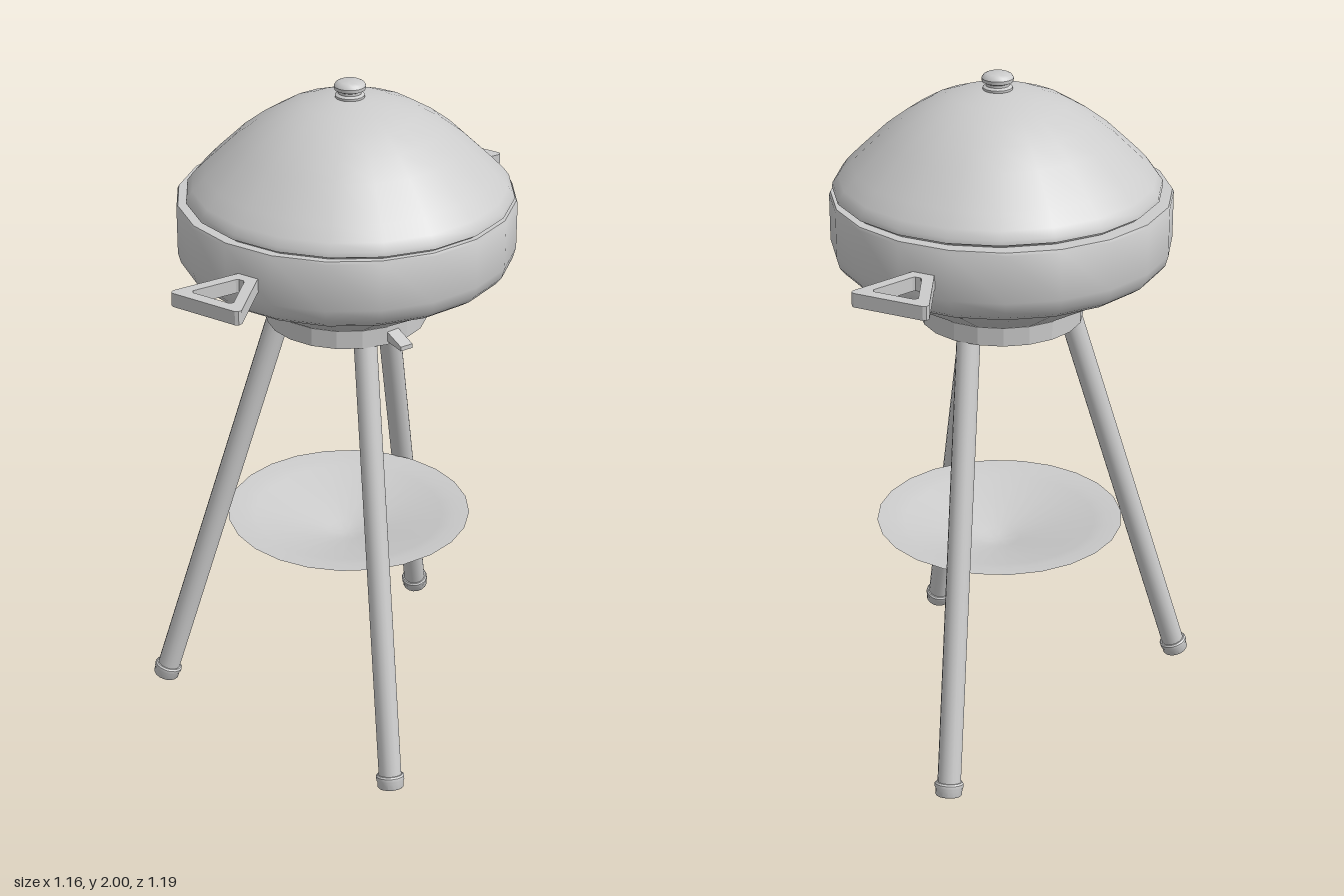
import * as THREE from 'three';
import { toCreasedNormals } from 'three/addons/utils/BufferGeometryUtils.js';

const material = new THREE.MeshStandardMaterial({ color: 0xcccccc, side: THREE.DoubleSide });
const BOWL = [0.02, -0.033]; // x, z of the bowl axis
const LID = [0.027, -0.02]; // the lid sits slightly off the bowl axis

function part(name, geometry, parent) {
  const mesh = new THREE.Mesh(geometry, material);
  mesh.name = name;
  parent.add(mesh);
  return mesh;
}

// Turned part: profile of [radius, y] listed from bottom to top
function turned(name, profile, parent, [x, z], sides = 20, crease = 0.65) {
  const points = profile.map(([r, y]) => new THREE.Vector2(r, y));
  const mesh = part(name, toCreasedNormals(new THREE.LatheGeometry(points, sides), crease), parent);
  mesh.position.set(x, 0, z);
  return mesh;
}

function outline(Type, points) {
  return new Type(points.map(([x, y]) => new THREE.Vector2(x, y)));
}

// Triangular carrying handle, reaching outwards along its own +x
function handleGeometry() {
  const shape = outline(THREE.Shape, [
    [0.45, -0.032], [0.484, -0.034], [0.665, -0.113], [0.677, -0.111], [0.682, -0.102],
    [0.682, 0.102], [0.677, 0.111], [0.665, 0.113], [0.484, 0.034], [0.45, 0.032],
  ]);
  shape.holes.push(outline(THREE.Path, [
    [0.512, -0.008], [0.512, 0.008], [0.518, 0.014], [0.638, 0.067],
    [0.648, 0.06], [0.648, -0.06], [0.638, -0.067], [0.518, -0.014],
  ]));
  return new THREE.ExtrudeGeometry(shape, { depth: 0.04, bevelEnabled: false })
    .rotateX(-Math.PI / 2).translate(0, 1.542, 0);
}

// Straight leg with a ridged foot cap, from its foot centre to its top
function leg(foot, top) {
  const group = new THREE.Group();
  group.name = 'leg';
  const a = new THREE.Vector3(...foot);
  const direction = new THREE.Vector3(...top).sub(a);
  const length = direction.length();
  turned('legTube', [[0.034, 0.02], [0.034, length], [0, length]], group, [0, 0], 16);
  turned('footCap', [
    [0, 0.012], [0.026, 0.012], [0.028, 0], [0.036, 0], [0.039, 0.004], [0.039, 0.02],
    [0.042, 0.026], [0.042, 0.036], [0.038, 0.041], [0.033, 0.041],
  ], group, [0, 0], 16);
  group.position.copy(a);
  group.quaternion.setFromUnitVectors(new THREE.Vector3(0, 1, 0), direction.normalize());
  return group;
}

export function createModel() {
  const model = new THREE.Group();
  model.name = 'kettleGrill';

  // Bowl with a narrow rim ledge
  turned('bowl', [
    [0, 1.33], [0.225, 1.33], [0.405, 1.434], [0.44, 1.449], [0.463, 1.465], [0.479, 1.485],
    [0.487, 1.515], [0.487, 1.652], [0.483, 1.66], [0.44, 1.66],
  ], model, BOWL);

  // Domed lid
  turned('lid', [
    [0.45, 1.655], [0.458, 1.668], [0.468, 1.67], [0.466, 1.683], [0.45, 1.705],
    [0.413, 1.743], [0.327, 1.825], [0.265, 1.872], [0.195, 1.914], [0.13, 1.938],
    [0.065, 1.952], [0, 1.956],
  ], model, LID);

  // Lid knob
  turned('knob', [
    [0.036, 1.945], [0.042, 1.954], [0.042, 1.96], [0.033, 1.965], [0.033, 1.972],
    [0.044, 1.977], [0.045, 1.987], [0.04, 1.995], [0.03, 2.0], [0, 2.0],
  ], model, LID);

  // Faceted collar under the bowl, open at the bottom
  turned('collar', [
    [0.222, 1.335], [0.222, 1.28], [0.235, 1.28], [0.235, 1.335], [0.222, 1.335],
  ], model, BOWL, 20, 0.2);

  // Vent lever through the collar
  const lever = outline(THREE.Shape, [
    [0.04, 1.322], [0.04, 1.307], [0.2, 1.292], [0.3, 1.285], [0.3, 1.298], [0.215, 1.325],
  ]);
  const ventLever = part('ventLever', new THREE.ExtrudeGeometry(lever, { depth: 0.04, bevelEnabled: false })
    .translate(0, 0, -0.02), model);
  ventLever.position.set(BOWL[0], 0, BOWL[1]);
  ventLever.rotation.y = -Math.atan2(0.276, 0.119);
  turned('ventHub', [[0, 1.305], [0.05, 1.305], [0.05, 1.332]], model, BOWL);

  // Two opposite handles
  for (const angle of [Math.PI / 4, Math.PI * 5 / 4]) {
    const handle = part('handle', handleGeometry(), model);
    handle.position.set(BOWL[0], 0, BOWL[1]);
    handle.rotation.y = angle;
  }

  // Three splayed legs
  model.add(
    leg([-0.545, 0.067, -0.077], [-0.165, 1.327, -0.043]),
    leg([0.036, 0.013, 0.562], [0.036, 1.325, 0.15]),
    leg([0.357, 0.013, -0.53], [0.158, 1.325, -0.15]),
  );

  // Shallow conical ash pan between the legs
  turned('ashPan', [
    [0, 0.541], [0.03, 0.543], [0.06, 0.55], [0.285, 0.613], [0.32, 0.62], [0.367, 0.624],
  ], model, [0.028, -0.035], 24);

  return model;
}
